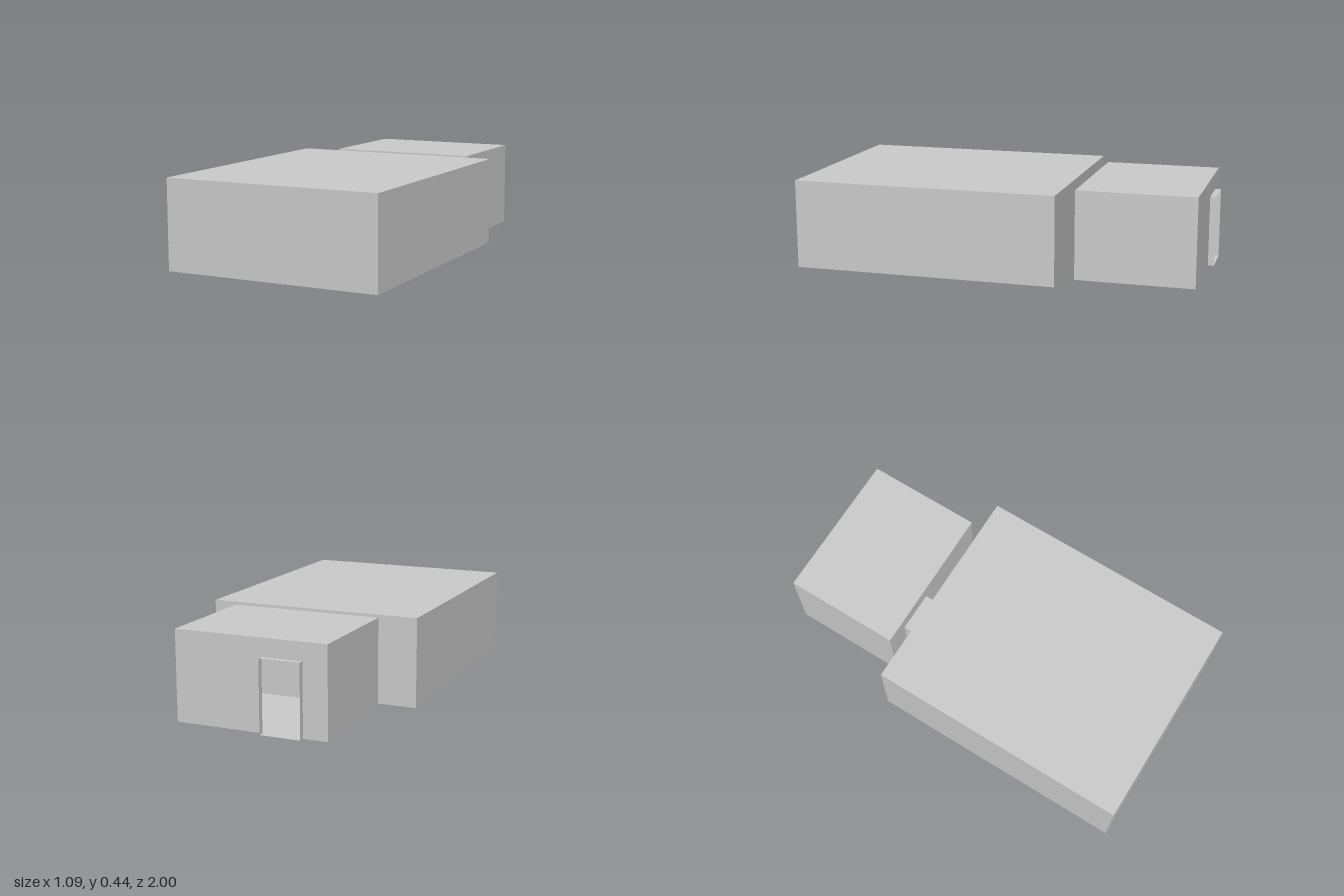
import * as THREE from 'three';

const HEIGHT = 0.442;
const DOOR = { x0: -0.249, x1: -0.048, h: 0.354 };

export function createModel() {
  const model = new THREE.Group();
  model.name = 'roomsWithPassages';
  const grey = new THREE.MeshStandardMaterial({ color: 0xcccccc, side: THREE.DoubleSide });
  grey.name = 'plain grey';

  function add(group, name, geometry) {
    const mesh = new THREE.Mesh(geometry, grey);
    mesh.name = name;
    group.add(mesh);
  }

  // Thin level panel (floor, ceiling) facing up or down
  function level(group, name, x0, x1, z0, z1, y, up) {
    const g = new THREE.PlaneGeometry(x1 - x0, z1 - z0);
    g.rotateX(up ? -Math.PI / 2 : Math.PI / 2);
    g.translate((x0 + x1) / 2, y, (z0 + z1) / 2);
    add(group, name, g);
  }

  // Thin side wall running along z, facing -x or +x
  function sideWall(group, name, x, z0, z1, h, dir) {
    const g = new THREE.PlaneGeometry(z1 - z0, h);
    g.rotateY(dir * Math.PI / 2);
    g.translate(x, h / 2, (z0 + z1) / 2);
    add(group, name, g);
  }

  // Thin wall across x, with an optional doorway cut up from the floor
  function endWall(group, name, x0, x1, z, dir, door) {
    const pts = [[x0, 0]];
    if (door) pts.push([DOOR.x0, 0], [DOOR.x0, DOOR.h], [DOOR.x1, DOOR.h], [DOOR.x1, 0]);
    pts.push([x1, 0], [x1, HEIGHT], [x0, HEIGHT]);
    const shape = new THREE.Shape(pts.map(([x, y]) => new THREE.Vector2(dir * x, y)));
    const g = new THREE.ShapeGeometry(shape);
    if (dir < 0) g.rotateY(Math.PI);
    g.translate(0, 0, z);
    add(group, name, g);
  }

  // Open-ended tube: floor, ceiling and two sides
  function shell(name, x0, x1, z0, z1, h) {
    const group = new THREE.Group();
    group.name = name;
    level(group, 'floor', x0, x1, z0, z1, 0, false);
    level(group, 'ceiling', x0, x1, z0, z1, h, true);
    sideWall(group, 'leftWall', x1, z0, z1, h, 1);
    sideWall(group, 'rightWall', x0, z0, z1, h, -1);
    model.add(group);
    return group;
  }

  // Large hall, closed at the front
  const hall = shell('largeRoom', -0.543, 0.543, -0.323, 1, HEIGHT);
  endWall(hall, 'frontWall', -0.543, 0.543, 1, 1, false);
  endWall(hall, 'backWall', -0.543, 0.543, -0.323, -1, true);

  // Small room with a doorway at each end
  const room = shell('smallRoom', -0.37, 0.392, -0.971, -0.384, HEIGHT);
  endWall(room, 'frontWall', -0.37, 0.392, -0.384, 1, true);
  endWall(room, 'backWall', -0.37, 0.392, -0.971, -1, true);

  // Connecting passage and outer doorway
  shell('passage', DOOR.x0, DOOR.x1, -0.384, -0.323, DOOR.h);
  shell('outerDoorway', DOOR.x0, DOOR.x1, -1, -0.971, DOOR.h);

  return model;
}
